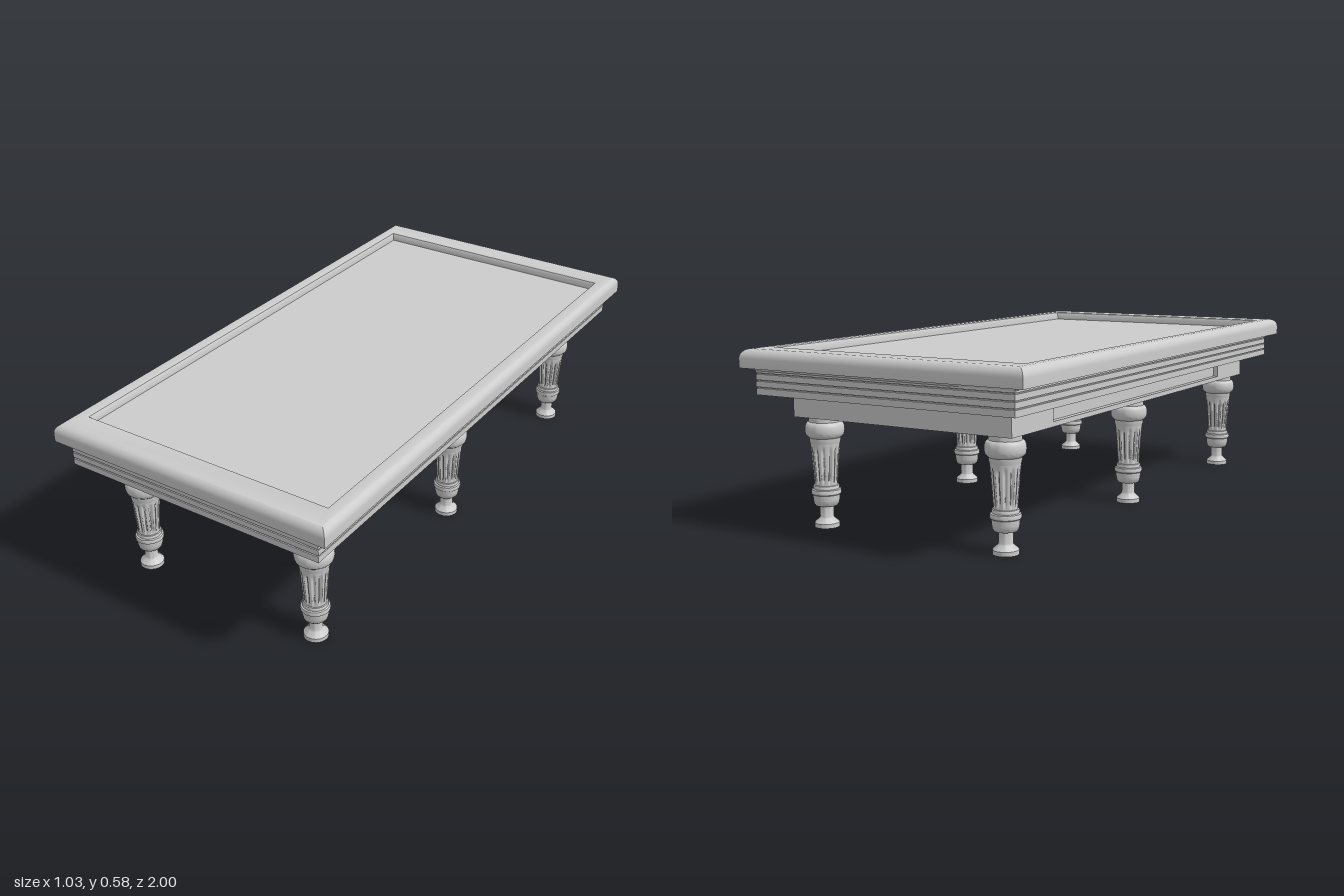
import * as THREE from 'three';
import { toCreasedNormals } from 'three/addons/utils/BufferGeometryUtils.js';

const material = new THREE.MeshStandardMaterial({ color: 0xcccccc });

function addMesh(parent, name, geometry) {
  const mesh = new THREE.Mesh(geometry, material);
  mesh.name = name;
  parent.add(mesh);
  return mesh;
}

// Loft through mitred rectangular rings [halfX, y, halfZ], capped at both ends
function rectLoft(rings, crease = 0.6) {
  const positions = [];
  const corners = rings.map(([x, y, z]) => [[x, y, z], [x, y, -z], [-x, y, -z], [-x, y, z]]);
  const quad = (a, b, c, d) => positions.push(...a, ...b, ...c, ...a, ...c, ...d);
  const first = corners[0], last = corners[corners.length - 1];
  quad(first[3], first[2], first[1], first[0]);
  for (let i = 0; i < corners.length - 1; i++) {
    for (let k = 0; k < 4; k++) {
      const n = (k + 1) % 4;
      quad(corners[i][k], corners[i][n], corners[i + 1][n], corners[i + 1][k]);
    }
  }
  quad(...last);
  const geometry = new THREE.BufferGeometry();
  geometry.setAttribute('position', new THREE.Float32BufferAttribute(positions, 3));
  return toCreasedNormals(geometry, crease);
}

// Turn a list of [inset from the outer edge, y] into rings
const insetRings = (hx, hz, profile) => profile.map(([d, y]) => [hx - d, y, hz - d]);

// Top rail: rounded outside, sloping cushion inside, ending in the playing bed
function railGeometry() {
  const profile = [[0, 0.52], [0, 0.55]];
  for (let i = 1; i <= 8; i++) {
    const a = (i / 8) * Math.PI / 2;
    profile.push([0.028 * (1 - Math.cos(a)), 0.55 + 0.03 * Math.sin(a)]);
  }
  const rings = insetRings(0.513, 1, profile);
  rings.push([0.464, 0.58, 0.908], [0.457, 0.577, 0.9], [0.453, 0.57, 0.896], [0.452, 0.55, 0.895]);
  return rectLoft(rings);
}

// Frame under the rail: straight bands parted by fine grooves, small cove on top
function frameGeometry() {
  const profile = [[0.045, 0.428], [0.035, 0.433], [0, 0.436]];
  for (const y of [0.459, 0.481, 0.503]) {
    profile.push([0, y - 0.002], [0.004, y - 0.001], [0.004, y + 0.001], [0, y + 0.002]);
  }
  profile.push([0, 0.511], [-0.003, 0.516], [-0.008, 0.521]);
  return rectLoft(insetRings(0.471, 0.972, profile), 0.4);
}

// Skirt: solid top and bottom, with a long shallow recess in each side
function buildSkirt() {
  const skirt = new THREE.Group();
  skirt.name = 'skirt';
  const hx = 0.403, hz = 0.88, rx = 0.385, rz = 0.643;
  const slab = (name, y0, y1) => {
    addMesh(skirt, name, new THREE.BoxGeometry(hx * 2, y1 - y0, hz * 2)).position.y = (y0 + y1) / 2;
  };
  slab('skirtBottom', 0.36, 0.376);
  slab('skirtTop', 0.42, 0.434);
  const plan = new THREE.Shape([
    [hx, -hz], [hx, -rz], [rx, -rz], [rx, rz], [hx, rz], [hx, hz],
    [-hx, hz], [-hx, rz], [-rx, rz], [-rx, -rz], [-hx, -rz], [-hx, -hz],
  ].map(([x, y]) => new THREE.Vector2(x, y)));
  const core = new THREE.ExtrudeGeometry(plan, { depth: 0.044, bevelEnabled: false });
  addMesh(skirt, 'recessedCore', core.rotateX(-Math.PI / 2)).position.y = 0.376;
  return skirt;
}

const turned = (points) => toCreasedNormals(
  new THREE.LatheGeometry(points.map(([r, y]) => new THREE.Vector2(r, y)), 40), 0.6);

// Tapered shaft with twelve round-ended flutes pressed into it
function shaftGeometry() {
  const y0 = 0.13, y1 = 0.275, flutes = 12;
  const geometry = new THREE.CylinderGeometry(1, 1, y1 - y0, flutes * 8, 16, true);
  geometry.translate(0, (y0 + y1) / 2, 0);
  const p = geometry.attributes.position;
  for (let i = 0; i < p.count; i++) {
    const x = p.getX(i), y = p.getY(i), z = p.getZ(i);
    const t = (y - y0) / (y1 - y0);
    const across = Math.max(0, Math.cos(Math.atan2(x, z) * flutes));
    const along = THREE.MathUtils.smoothstep(t, 0.06, 0.2) * (1 - THREE.MathUtils.smoothstep(t, 0.8, 0.94));
    const r = 0.036 + 0.011 * t - 0.007 * Math.sqrt(across) * along;
    p.setXYZ(i, x * r, y, z * r);
  }
  geometry.computeVertexNormals();
  return geometry;
}

// Foot and lower collar of a leg
const footGeometry = turned([
  [0, 0], [0.04, 0], [0.04, 0.014], [0.037, 0.018], [0.024, 0.029], [0.022, 0.034],
  [0.022, 0.07], [0.034, 0.07], [0.039, 0.076], [0.042, 0.09], [0.043, 0.106],
  [0.047, 0.109], [0.048, 0.117], [0.046, 0.123], [0.041, 0.125], [0.042, 0.131],
  [0.04, 0.136], [0.034, 0.138],
]);

// Bulging capital of a leg
const capitalGeometry = turned([
  [0.04, 0.272], [0.047, 0.272], [0.049, 0.279], [0.05, 0.291], [0.055, 0.295],
  [0.06, 0.3], [0.062, 0.307], [0.063, 0.317], [0.062, 0.328], [0.059, 0.336],
  [0.054, 0.341], [0.05, 0.342], [0.05, 0.362],
]);

function buildLeg(name, x, z, fluted) {
  const leg = new THREE.Group();
  leg.name = name;
  addMesh(leg, 'foot', footGeometry);
  addMesh(leg, 'flutedShaft', fluted);
  addMesh(leg, 'capital', capitalGeometry);
  leg.position.set(x, 0, z);
  return leg;
}

export function createModel() {
  const table = new THREE.Group();
  table.name = 'gameTable';
  addMesh(table, 'railAndBed', railGeometry());
  addMesh(table, 'frame', frameGeometry());
  table.add(buildSkirt());

  // Three pairs of legs
  const fluted = shaftGeometry();
  for (const [row, z] of [['front', 0.81], ['middle', 0], ['back', -0.81]]) {
    for (const [side, x] of [['Left', 0.338], ['Right', -0.338]]) {
      table.add(buildLeg(`${row}${side}Leg`, x, z, fluted));
    }
  }
  return table;
}
